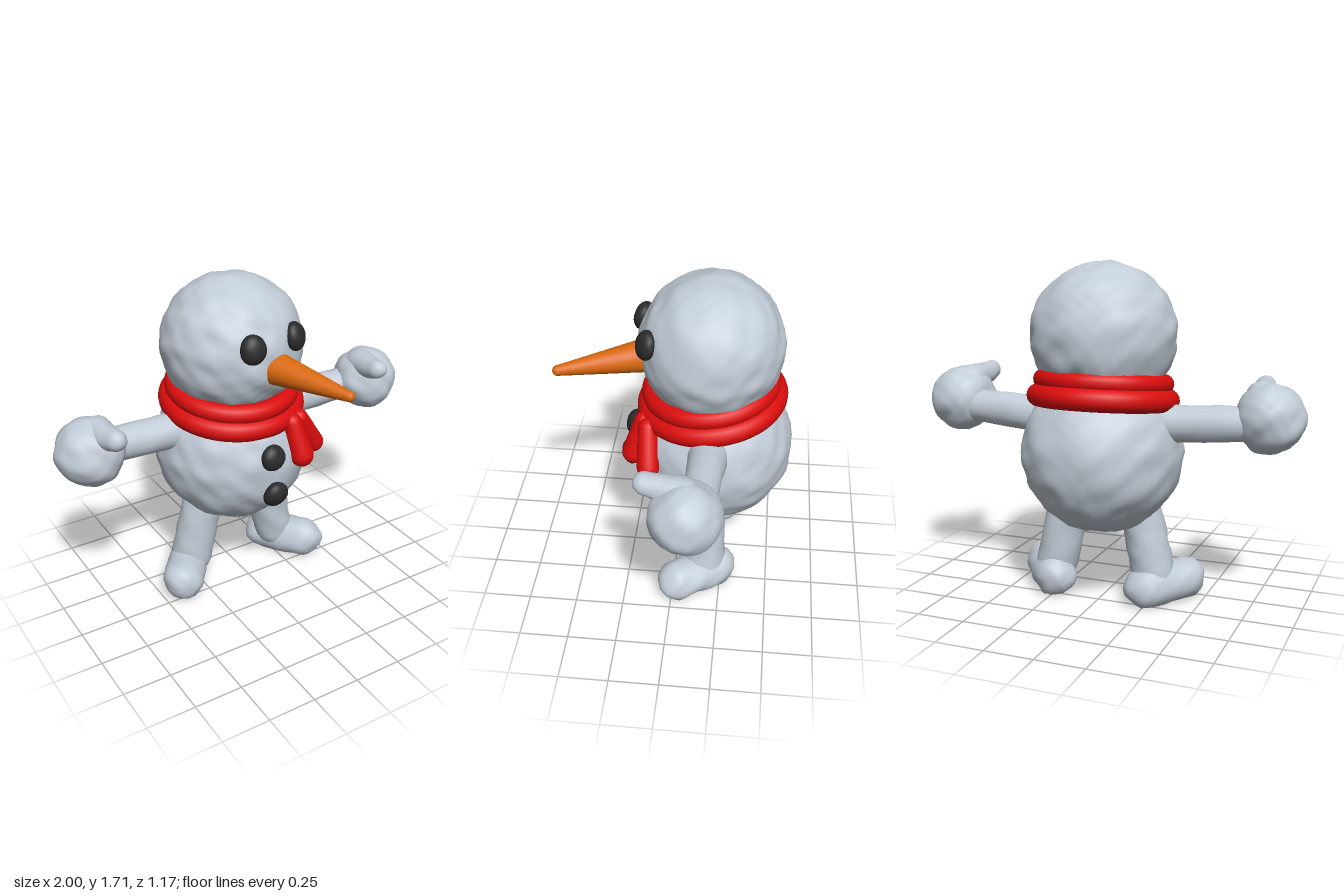
import * as THREE from 'three';
import { mergeVertices } from 'three/addons/utils/BufferGeometryUtils.js';

const V = (x, y, z) => new THREE.Vector3(x, y, z);

// Position-based lumps that make the snow look hand-packed
function lump(p) {
  return Math.sin(p.x * 23 + p.y * 11 + 1) * Math.sin(p.y * 27 - p.z * 9) * 0.5 +
    Math.sin(p.z * 31 + p.x * 14) * Math.sin(p.y * 37 + p.x * 19 + 2) * 0.35 +
    Math.sin(p.x * 61 - p.z * 47) * Math.sin(p.y * 57 + p.z * 33) * 0.25;
}

function roughen(geometry, amount) {
  geometry.deleteAttribute('uv');
  geometry.deleteAttribute('normal');
  const g = mergeVertices(geometry, 1e-4);
  g.computeVertexNormals();
  const pos = g.attributes.position, nor = g.attributes.normal;
  const p = V(0, 0, 0), n = V(0, 0, 0);
  for (let i = 0; i < pos.count; i++) {
    p.fromBufferAttribute(pos, i);
    n.fromBufferAttribute(nor, i);
    p.addScaledVector(n, lump(p) * amount);
    pos.setXYZ(i, p.x, p.y, p.z);
  }
  g.computeVertexNormals();
  return g;
}

// Tapered rod with round ends between two points
function limb(from, to, r0, r1, sides = 20) {
  const length = from.distanceTo(to), pts = [];
  for (let i = 0; i <= 6; i++) {
    const a = (i / 6 - 1) * Math.PI / 2;
    pts.push(new THREE.Vector2(Math.max(0, Math.cos(a) * r0), Math.sin(a) * r0));
  }
  for (let i = 1; i < 6; i++) {
    pts.push(new THREE.Vector2(r0 + (r1 - r0) * i / 6, length * i / 6));
  }
  for (let i = 0; i <= 6; i++) {
    const a = i / 6 * Math.PI / 2;
    pts.push(new THREE.Vector2(i === 6 ? 0 : Math.cos(a) * r1, length + Math.sin(a) * r1));
  }
  pts[0].x = 0;
  const g = new THREE.LatheGeometry(pts, sides);
  const dir = to.clone().sub(from).normalize();
  g.applyQuaternion(new THREE.Quaternion().setFromUnitVectors(V(0, 1, 0), dir));
  return g.translate(from.x, from.y, from.z);
}

function ball(center, rx, ry, rz, detail = 9) {
  return new THREE.IcosahedronGeometry(1, detail).scale(rx, ry, rz)
    .translate(center.x, center.y, center.z);
}

export function createModel() {
  const model = new THREE.Group();
  model.name = 'snowman';
  const material = (name, color) => {
    const m = new THREE.MeshStandardMaterial({ color });
    m.name = name;
    return m;
  };
  const snow = material('snow', 0xc2ccd7);
  const red = material('scarf red', 0xdb0d0d);
  const orange = material('carrot orange', 0xd9690f);
  const coal = material('coal', 0x2b2b2b);

  const add = (name, geometry, mat, parent = model) => {
    const mesh = new THREE.Mesh(geometry, mat);
    mesh.name = name;
    parent.add(mesh);
    return mesh;
  };

  // Torso and head
  const bodyCenter = V(0, 0.765, -0.18), headCenter = V(0, 1.345, -0.165);
  add('body', roughen(ball(bodyCenter, 0.405, 0.405, 0.408, 14), 0.011), snow);
  add('head', roughen(ball(headCenter, 0.365, 0.36, 0.355, 14), 0.011), snow);

  // Arms, hands, legs and feet on both sides
  for (const s of [1, -1]) {
    const side = s > 0 ? 'left' : 'right';
    const arm = new THREE.Group();
    arm.name = side + 'Arm';
    add('forearm', roughen(limb(V(s * 0.3, 0.925, -0.18), V(s * 0.74, 0.95, -0.155), 0.095, 0.085), 0.007), snow, arm);
    add('hand', roughen(ball(V(s * 0.828, 0.973, -0.11), 0.17, 0.17, 0.17), 0.01), snow, arm);
    add('thumb', roughen(limb(V(s * 0.785, 1.07, -0.1), V(s * 0.765, 1.1, 0.075), 0.08, 0.052), 0.007), snow, arm);
    model.add(arm);

    const leg = new THREE.Group();
    leg.name = side + 'Leg';
    add('shin', roughen(limb(V(s * 0.2, 0.45, -0.155), V(s * 0.268, 0.14, -0.165), 0.108, 0.108), 0.008), snow, leg);
    // Foot turned outward, with a flat sole
    const foot = roughen(limb(V(s * 0.25, 0.09, -0.225), V(s * 0.39, 0.095, -0.035), 0.107, 0.107, 24), 0.012);
    const pos = foot.attributes.position;
    for (let i = 0; i < pos.count; i++) pos.setY(i, Math.max(0, pos.getY(i)));
    foot.computeVertexNormals();
    add('foot', foot, snow, leg);
    model.add(leg);
  }

  // Coal eyes and buttons, each facing away from its ball of snow
  const addCoal = (name, p, center, rx, ry, rz) => {
    const mesh = add(name, roughen(ball(V(0, 0, 0), rx, ry, rz, 5), 0.004), coal);
    mesh.position.copy(p);
    mesh.lookAt(p.clone().multiplyScalar(2).sub(center));
  };
  addCoal('rightEye', V(-0.082, 1.438, 0.178), headCenter, 0.066, 0.073, 0.045);
  addCoal('leftEye', V(0.185, 1.438, 0.135), headCenter, 0.066, 0.073, 0.045);
  addCoal('upperButton', V(0.01, 0.85, 0.222), bodyCenter, 0.068, 0.067, 0.045);
  addCoal('lowerButton', V(0.01, 0.652, 0.25), bodyCenter, 0.069, 0.068, 0.045);

  // Carrot nose, pointing off to one side
  add('nose', limb(V(0.05, 1.305, 0.12), V(0.203, 1.282, 0.56), 0.088, 0.026, 28), orange);

  // Scarf: two stacked loops tilted up at the back, and two hanging ends
  const scarf = new THREE.Group();
  scarf.name = 'scarf';
  const loops = [['upperLoop', 0.3, 0.05, 1.115, -0.165], ['lowerLoop', 0.325, 0.056, 1.035, -0.172]];
  for (const [name, radius, tube, y, z] of loops) {
    const loop = add(name, new THREE.TorusGeometry(radius, tube, 16, 64), red, scarf);
    loop.rotation.x = Math.PI / 2 + 0.13;
    loop.position.set(0, y, z);
  }
  add('innerEnd', limb(V(0.165, 0.98, 0.155), V(0.195, 0.807, 0.205), 0.05, 0.062), red, scarf);
  add('outerEnd', limb(V(0.22, 0.98, 0.13), V(0.322, 0.812, 0.12), 0.05, 0.056), red, scarf);
  model.add(scarf);

  return model;
}
